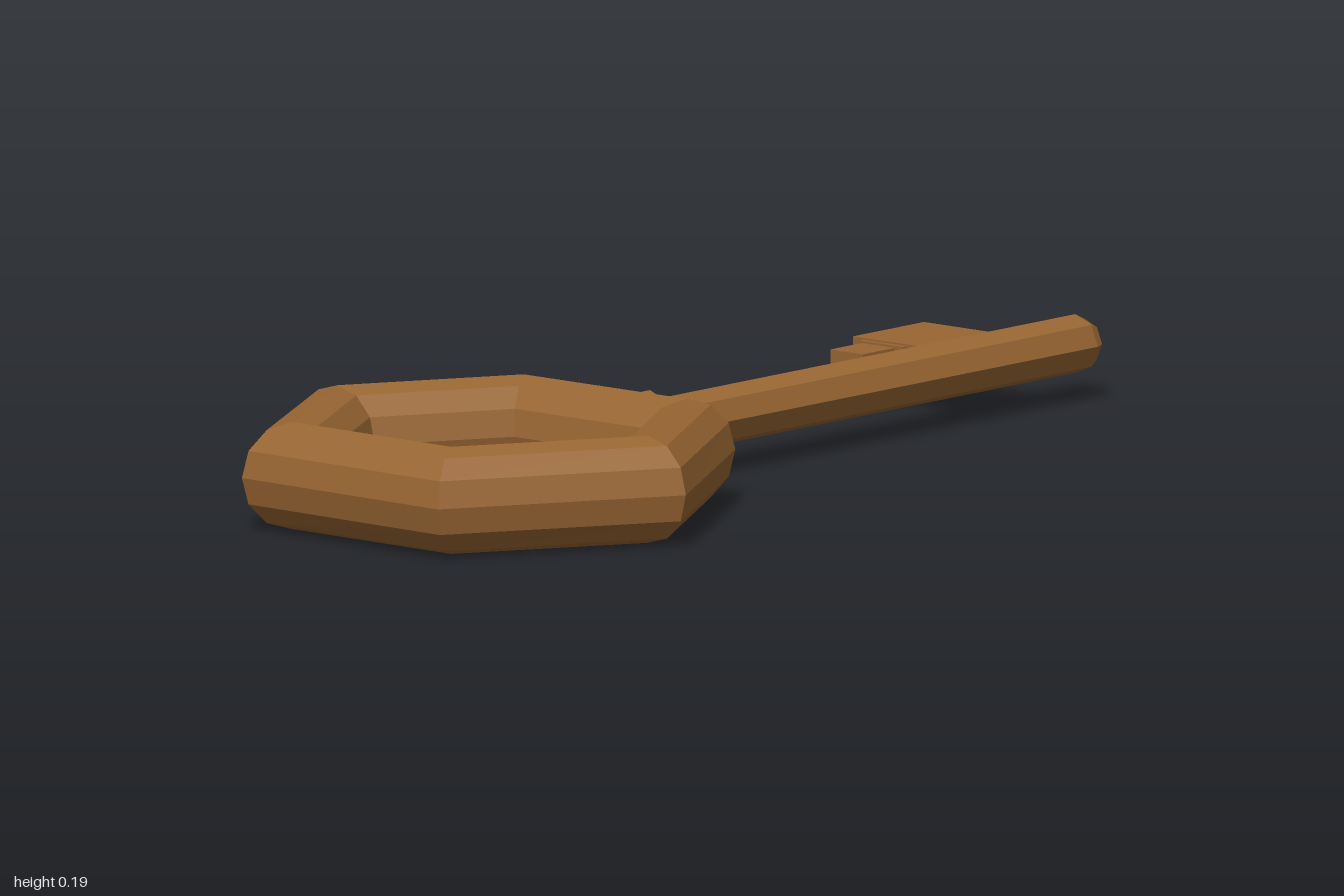
import * as THREE from 'three';

const CY = 0.095; // height of the key's middle plane

export function createModel() {
  const key = new THREE.Group();
  const bronze = new THREE.MeshStandardMaterial({ color: 0x996633 });
  bronze.name = 'bronze';

  const add = (name, geometry, x = 0, y = 0, z = 0) => {
    const geo = geometry.index ? geometry.toNonIndexed() : geometry;
    geo.computeVertexNormals(); // faceted look
    const mesh = new THREE.Mesh(geo, bronze);
    mesh.name = name;
    mesh.position.set(x, y, z);
    key.add(mesh);
  };

  // Hexagonal bow: a twelve-sided section swept round six slightly uneven corners
  const outer = [[0.46, 0.61], [0.225, 1.0], [-0.24, 0.985], [-0.46, 0.575], [-0.24, 0.205], [0.225, 0.205]];
  const inner = [[0.28, 0.605], [0.14, 0.832], [-0.145, 0.832], [-0.28, 0.583], [-0.15, 0.363], [0.135, 0.363]];
  const sides = 12;
  const positions = [];
  const index = [];
  outer.forEach(([ox, oz], i) => {
    const [ix, iz] = inner[i];
    for (let j = 0; j < sides; j++) {
      const a = (j / sides) * Math.PI * 2;
      const t = (1 + Math.cos(a)) / 2;
      positions.push(ix + (ox - ix) * t, CY + 0.095 * Math.sin(a), iz + (oz - iz) * t);
      const p = i * sides + j;
      const q = i * sides + ((j + 1) % sides);
      const r = ((i + 1) % 6) * sides + j;
      const s = ((i + 1) % 6) * sides + ((j + 1) % sides);
      index.push(p, q, r, q, s, r);
    }
  });
  const bow = new THREE.BufferGeometry();
  bow.setAttribute('position', new THREE.Float32BufferAttribute(positions, 3));
  bow.setIndex(index);
  add('bow', bow);

  // Turned parts: [radius, distance towards the tip] spun around the shaft axis
  const turned = (name, profile) => {
    const points = profile.map(([r, d]) => new THREE.Vector2(r, d));
    add(name, new THREE.LatheGeometry(points, 8).rotateX(-Math.PI / 2), -0.006, CY + 0.003, 0);
  };
  turned('shaft', [[0, -0.25], [0.052, -0.25], [0.052, 0.972], [0.04, 0.997], [0, 1]]);
  turned('collar', [[0, -0.22], [0.058, -0.22], [0.07, -0.19], [0.07, -0.165], [0.055, -0.148], [0, -0.148]]);

  // Flat bit with a stepped tooth pointing back to the bow
  add('bit', new THREE.BoxGeometry(0.26, 0.042, 0.19), -0.15, CY, -0.79);
  add('toothStep', new THREE.BoxGeometry(0.1, 0.036, 0.02), -0.205, CY, -0.694);
  add('tooth', new THREE.BoxGeometry(0.075, 0.028, 0.1), -0.2125, CY, -0.65);

  return key;
}
